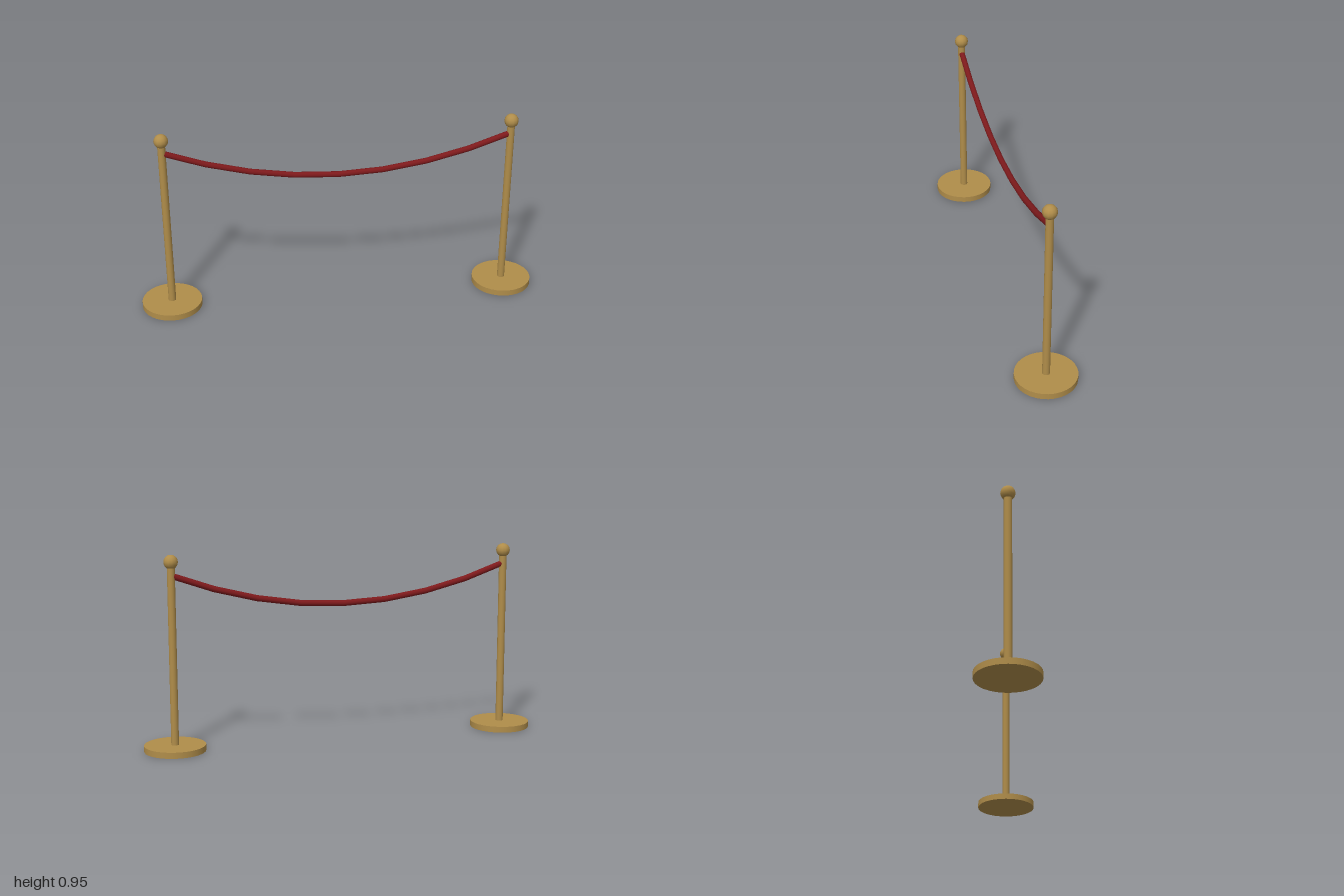
import * as THREE from 'three';

export function createModel() {
  const model = new THREE.Group();
  const brass = new THREE.MeshStandardMaterial({ color: 0xb08d4a });
  brass.name = 'brass';
  const velvet = new THREE.MeshStandardMaterial({ color: 0x7f1a1c });
  velvet.name = 'red velvet';

  const add = (parent, name, geometry, material, y = 0) => {
    const mesh = new THREE.Mesh(geometry, material);
    mesh.name = name;
    mesh.position.y = y;
    parent.add(mesh);
  };

  // Two matching posts: disc base, slim pole and ball finial
  for (const [name, x] of [['leftPost', 0.85], ['rightPost', -0.85]]) {
    const post = new THREE.Group();
    post.name = name;
    post.position.x = x;
    add(post, 'base', new THREE.CylinderGeometry(0.15, 0.15, 0.03, 32), brass, 0.015);
    add(post, 'pole', new THREE.CylinderGeometry(0.019, 0.019, 0.87, 12), brass, 0.465);
    add(post, 'finial', new THREE.SphereGeometry(0.035, 12, 8), brass, 0.92);
    model.add(post);
  }

  // Sagging rope: a parabola in eight straight runs, ending inside the poles
  const curve = new THREE.QuadraticBezierCurve3(
    new THREE.Vector3(-0.85, 0.855, 0),
    new THREE.Vector3(0, 0.515, 0),
    new THREE.Vector3(0.85, 0.855, 0)
  );
  add(model, 'rope', new THREE.TubeGeometry(curve, 8, 0.015, 8), velvet);

  return model;
}
